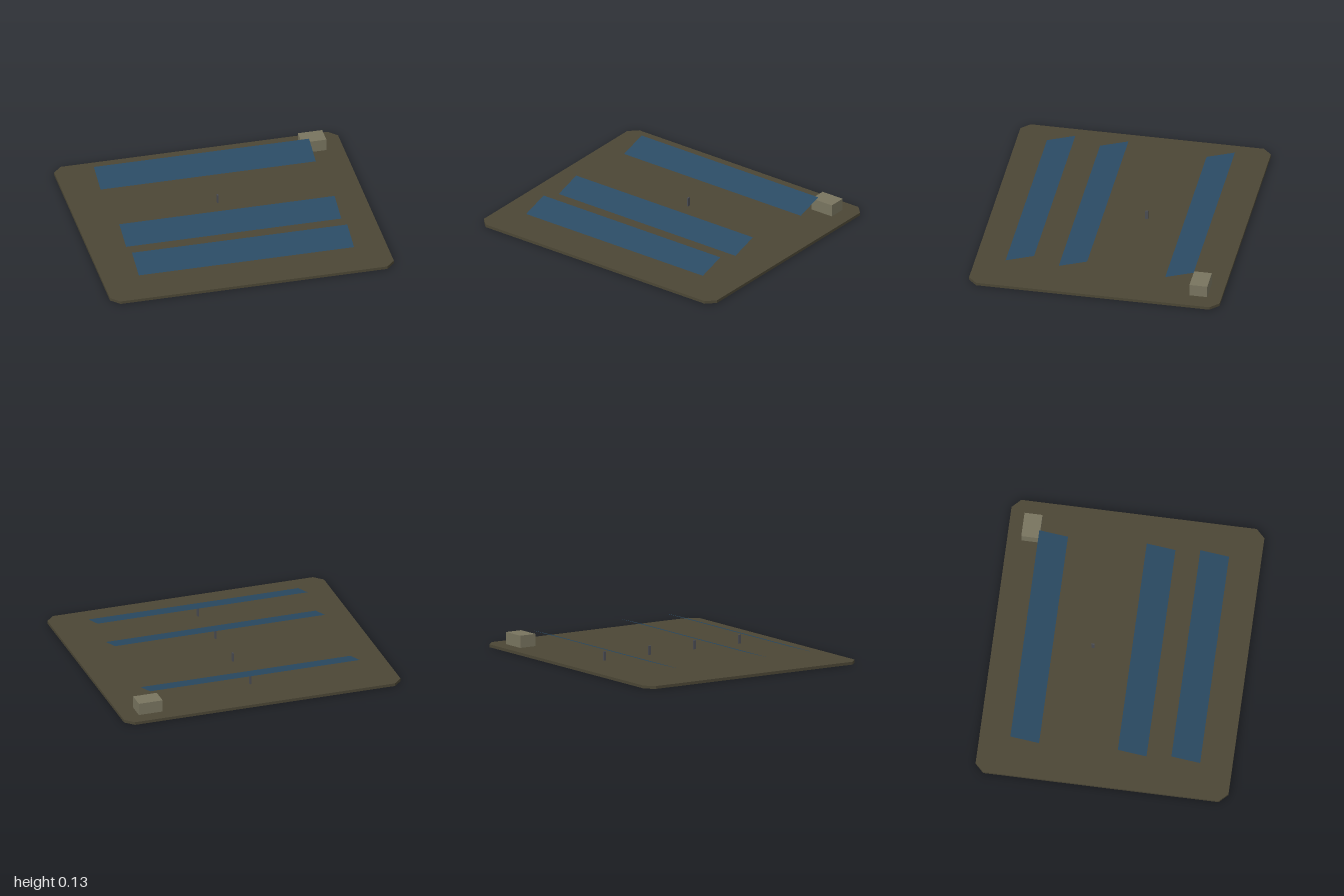
import * as THREE from 'three';

const mat = (name, color, side = THREE.FrontSide) => {
  const m = new THREE.MeshStandardMaterial({ color, side });
  m.name = name;
  return m;
};

export function createModel() {
  const group = new THREE.Group();
  group.name = 'solarField';
  const ground = mat('earth', 0x4b4635);
  const panelBlue = mat('panelBlue', 0x2a4a63, THREE.DoubleSide);
  const steel = mat('darkSteel', 0x4a4c52);
  const concrete = mat('concrete', 0x78745f);

  const add = (name, geometry, material, x, y, z) => {
    const mesh = new THREE.Mesh(geometry, material);
    mesh.name = name;
    mesh.position.set(x, y, z);
    group.add(mesh);
    return mesh;
  };

  // Base slab with cut corners
  const w = 1, d = 0.873, c = 0.06, top = 0.02;
  const outline = new THREE.Shape([
    [-w + c, -d], [w - c, -d], [w, -d + c], [w, d - c],
    [w - c, d], [-w + c, d], [-w, d - c], [-w, -d + c],
  ].map(([x, y]) => new THREE.Vector2(x, y)));
  const slab = new THREE.ExtrudeGeometry(outline, { depth: top, bevelEnabled: false });
  slab.rotateX(-Math.PI / 2);
  add('baseSlab', slab, ground, 0, 0, 0);

  // Support posts, one per row
  const postTop = 0.082;
  const post = new THREE.BoxGeometry(0.01, postTop - top, 0.02);
  for (const z of [-0.558, -0.186, 0.186, 0.558]) {
    add('supportPost', post, steel, 0, (postTop + top) / 2, z);
  }

  // Thin tilted panels, low edge to the front; one row has only its post
  const rise = 0.06, run = 0.198;
  const panel = new THREE.PlaneGeometry(1.516, Math.hypot(rise, run));
  panel.rotateX(-Math.PI / 2 + Math.atan2(rise, run));
  for (const z of [-0.558, 0.184, 0.554]) {
    add('solarPanel', panel, panelBlue, 0, 0.097, z);
  }

  // Equipment cabin in the back corner
  add('equipmentCabin', new THREE.BoxGeometry(0.172, 0.085, 0.124), concrete, 0.793, top + 0.0425, -0.713);

  return group;
}
